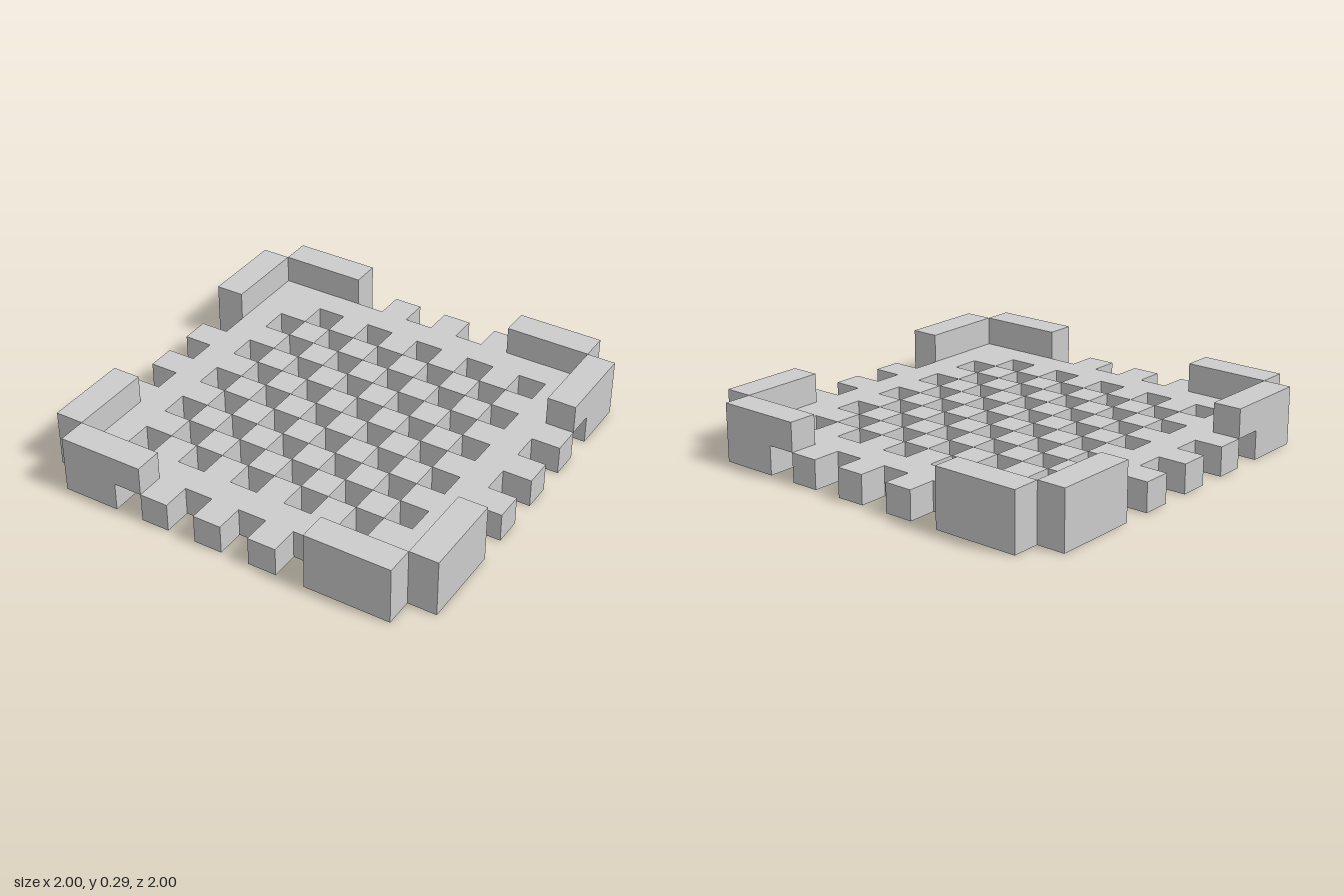
import * as THREE from 'three';
import { mergeGeometries } from 'three/addons/utils/BufferGeometryUtils.js';

const N = 14;        // grid cells per side
const S = 2 / N;     // cell size

// Which part fills grid cell (column i, layer k, row j); null when empty
function partAt(i, k, j) {
  if (Math.min(i, j, k) < 0 || Math.max(i, j) >= N || k > 1) return null;
  const odd = (i + j) % 2 === 1;
  const edgeI = i === 0 || i === N - 1;
  const edgeJ = j === 0 || j === N - 1;
  if (edgeI && edgeJ) return null;

  // Plate with a checkerboard of square holes inside a solid rim
  if (!edgeI && !edgeJ) {
    const inner = Math.min(i, j) >= 2 && Math.max(i, j) <= N - 3;
    return k > 0 || (inner && odd) ? null : 'perforatedPlate';
  }

  // Outer ring: teeth along the middle, two-layer walls by the corners
  const t = edgeI ? j : i;
  const nearCorner = t <= 3 || t >= 10;
  if (k === 0 && t >= 3 && t <= 10 && !odd) return null;
  if (nearCorner) {
    return (j < N / 2 ? 'back' : 'front') + (i < N / 2 ? 'Right' : 'Left') + 'CornerWall';
  }
  return k === 0 ? 'edgeTeeth' : null;
}

// One square face per direction, pushed out to the side of a cell
const faces = [
  [1, 0, 0], [-1, 0, 0], [0, 1, 0], [0, -1, 0], [0, 0, 1], [0, 0, -1],
].map((dir) => {
  const normal = new THREE.Vector3(...dir);
  const turn = new THREE.Quaternion().setFromUnitVectors(new THREE.Vector3(0, 0, 1), normal);
  const geometry = new THREE.PlaneGeometry(S, S).translate(0, 0, S / 2).applyQuaternion(turn);
  return { dir, geometry };
});

export function createModel() {
  const group = new THREE.Group();
  const material = new THREE.MeshStandardMaterial({ color: 0xcccccc, flatShading: true });
  const parts = {};

  // Collect only the exposed faces of each filled cell
  for (let i = 0; i < N; i++) {
    for (let j = 0; j < N; j++) {
      for (let k = 0; k < 2; k++) {
        const name = partAt(i, k, j);
        if (!name) continue;
        for (const { dir, geometry } of faces) {
          if (partAt(i + dir[0], k + dir[1], j + dir[2])) continue;
          const face = geometry.clone().translate(-1 + (i + 0.5) * S, (k + 0.5) * S, -1 + (j + 0.5) * S);
          (parts[name] ??= []).push(face);
        }
      }
    }
  }

  // One mesh per named part
  for (const [name, list] of Object.entries(parts)) {
    const mesh = new THREE.Mesh(mergeGeometries(list), material);
    mesh.name = name;
    group.add(mesh);
  }
  return group;
}
